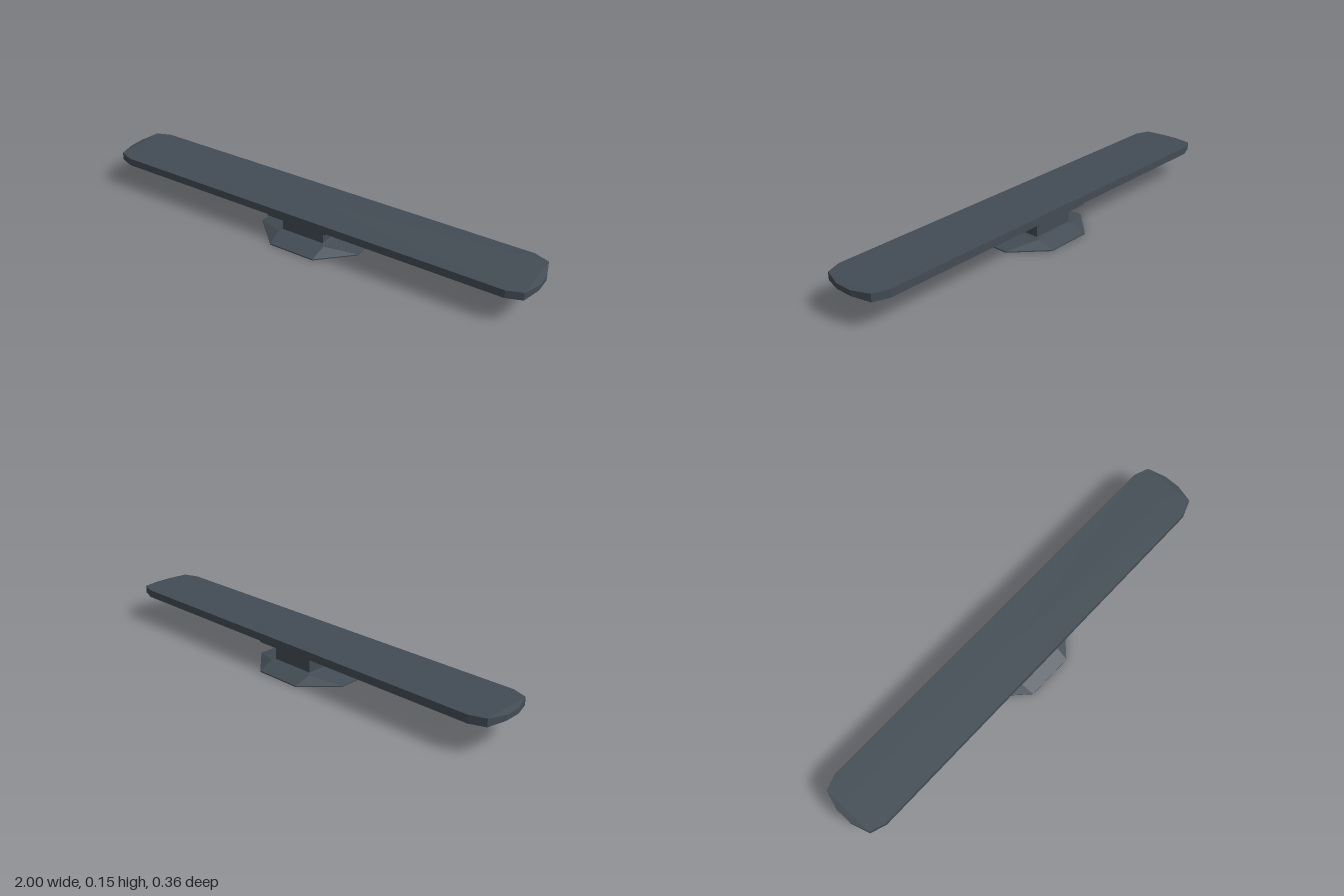
import * as THREE from 'three';

// Mirror a quarter outline of [x, y, z] points into a full ring, anticlockwise from above
function ring(quarter) {
  const back = [...quarter].reverse();
  const flip = (pts, sx, sz) => pts.map(([x, y, z]) => [x * sx, y, z * sz]);
  return [...flip(quarter, 1, -1), ...flip(back, -1, -1), ...flip(quarter, -1, 1), ...flip(back, 1, 1)];
}

// Faceted solid through a stack of rings from bottom to top, closed at both ends
function loft(name, material, quarters) {
  const rings = quarters.map(ring);
  const pos = [];
  const tri = (a, b, c) => pos.push(...a, ...b, ...c);
  const first = rings[0], last = rings[rings.length - 1], n = first.length;
  const bottom = [0, first[0][1], 0], top = [0, last[0][1], 0];
  for (let i = 0; i < n; i++) {
    const j = (i + 1) % n;
    for (let k = 0; k < rings.length - 1; k++) {
      const lo = rings[k], hi = rings[k + 1];
      tri(lo[i], lo[j], hi[j]);
      tri(lo[i], hi[j], hi[i]);
    }
    tri(bottom, first[j], first[i]);
    tri(top, last[i], last[j]);
  }
  const geometry = new THREE.BufferGeometry();
  geometry.setAttribute('position', new THREE.Float32BufferAttribute(pos, 3));
  geometry.computeVertexNormals();
  const mesh = new THREE.Mesh(geometry, material);
  mesh.name = name;
  return mesh;
}

export function createModel() {
  const group = new THREE.Group();
  group.name = 'pedestalBar';
  const slate = new THREE.MeshStandardMaterial({ color: 0x434c55 });
  slate.name = 'slateGrey';

  // Long bar with clipped corners and thinned tips
  const bar = (tipX, tipY, y) => [[tipX, tipY, 0.037], [0.975, y, 0.118], [0.91, y, 0.142]];
  group.add(loft('bar', slate, [
    bar(0.975, 0.118, 0.118), bar(1, 0.123, 0.118), bar(1, 0.146, 0.152), bar(0.975, 0.152, 0.152),
  ]));

  // Tapered collar under the bar
  const rect = (x, y, z) => [[x, y, z]];
  group.add(loft('collar', slate, [
    rect(0.1, 0.106, 0.095), rect(0.14, 0.112, 0.142), rect(0.147, 0.119, 0.142),
  ]));

  // Square post
  const post = new THREE.Mesh(new THREE.BoxGeometry(0.2, 0.078, 0.19), slate);
  post.name = 'post';
  post.position.y = 0.069;
  group.add(post);

  // Eight-sided foot sloping up to the post
  const foot = y => [[0.24, y, 0.05], [0.105, y, 0.181]];
  const corner = (x, y, z) => [[x, y, z], [x, y, z]];
  group.add(loft('foot', slate, [
    foot(0), foot(0.005), corner(0.112, 0.03, 0.11), corner(0.1, 0.034, 0.095),
  ]));

  return group;
}
